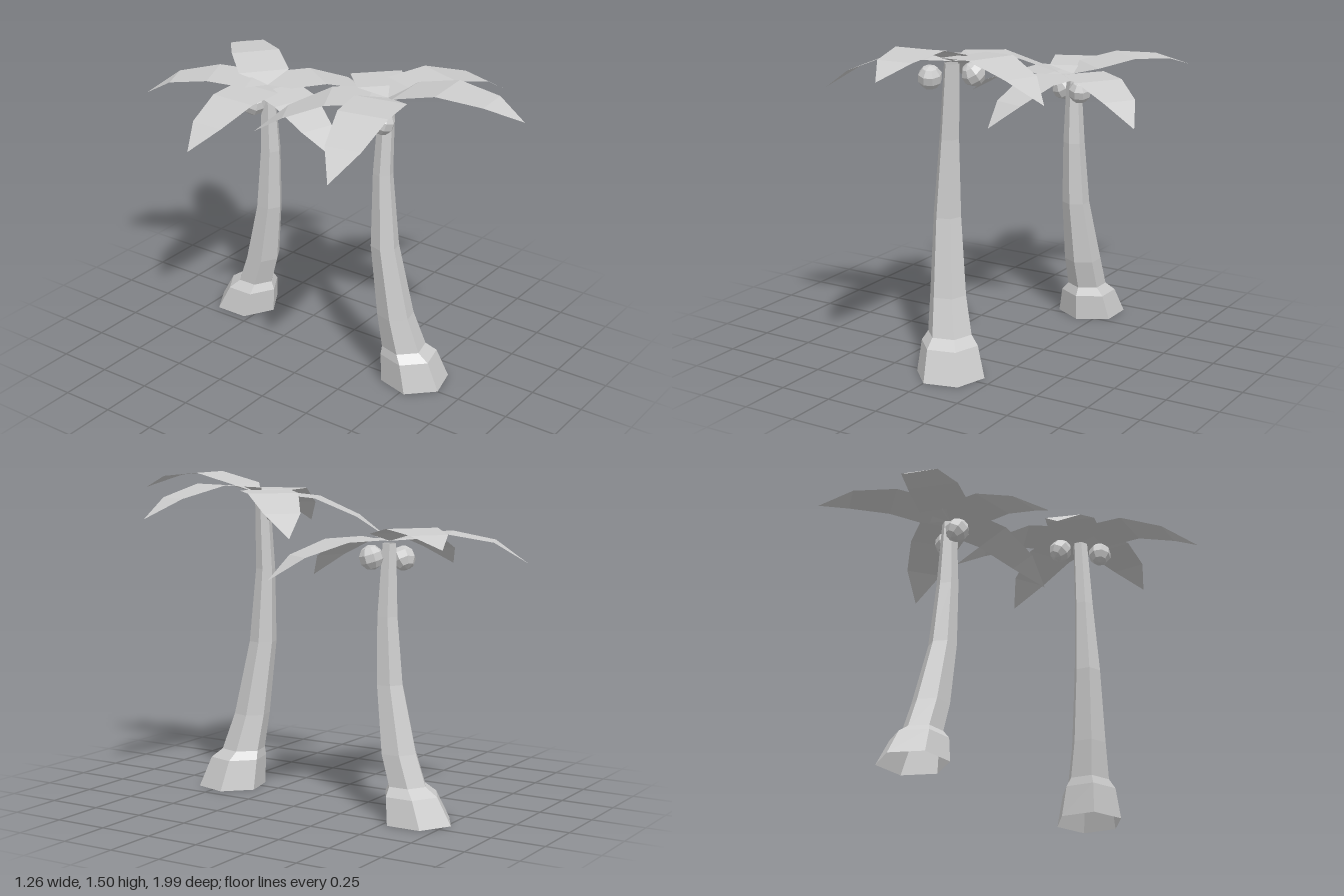
import * as THREE from 'three';

const grey = new THREE.MeshStandardMaterial({ color: 0xcccccc, side: THREE.DoubleSide, flatShading: true });
grey.name = 'palmGrey';

function mesh(name, geometry) {
  const m = new THREE.Mesh(geometry, grey);
  m.name = name;
  return m;
}

function indexed(points, faces) {
  const g = new THREE.BufferGeometry();
  g.setAttribute('position', new THREE.Float32BufferAttribute(points.flat(), 3));
  g.setIndex(faces.flat());
  const flat = g.toNonIndexed();
  flat.computeVertexNormals();
  return flat;
}

// Open six-sided trunk through rings of [x, y, z, radius]
function trunk(rings, turn) {
  const n = 6, points = [], faces = [];
  rings.forEach(([x, y, z, r], k) => {
    for (let i = 0; i < n; i++) {
      const a = turn + (i / n) * Math.PI * 2;
      points.push([x + r * Math.cos(a), y, z + r * Math.sin(a)]);
      if (k === 0) continue;
      const j = (i + 1) % n, low = (k - 1) * n, top = k * n;
      faces.push([low + i, top + i, low + j], [low + j, top + i, top + j]);
    }
  });
  return mesh('trunk', indexed(points, faces));
}

// Leaf from the hub to its tip, with heights at three rows and the tip
function frond(hub, tip, heights) {
  const dx = tip[0] - hub[0], dz = tip[1] - hub[2];
  const length = Math.hypot(dx, dz), ux = dx / length, uz = dz / length;
  const at = (s, w, y) => [hub[0] + ux * s * length - uz * w, y, hub[2] + uz * s * length + ux * w];
  const points = [at(0, 0, hub[1])];
  [[0.13, 0.122], [0.44, 0.117], [0.76, 0.083]].forEach(([s, w], k) => {
    points.push(at(s, -w, heights[k]), at(s, w, heights[k]));
  });
  points.push(at(1, 0, heights[3]));
  const faces = [[0, 2, 1], [1, 2, 3], [3, 2, 4], [3, 4, 5], [5, 4, 6], [5, 6, 7]];
  return mesh('frond', indexed(points, faces));
}

function coconut([x, y, z], i) {
  const m = mesh('coconut', new THREE.SphereGeometry(0.056, 8, 5));
  m.position.set(x, y, z);
  m.rotation.set(0.25, i * 0.9, i ? 0.4 : -0.15);
  return m;
}

function palm(name, { rings, turn, hub, fronds, coconuts }) {
  const group = new THREE.Group();
  group.name = name;
  group.add(trunk(rings, turn));
  fronds.forEach(([tip, heights]) => group.add(frond(hub, tip, heights)));
  coconuts.forEach((p, i) => group.add(coconut(p, i)));
  return group;
}

export function createModel() {
  const model = new THREE.Group();
  model.name = 'palmTrees';

  model.add(palm('tallPalm', {
    turn: THREE.MathUtils.degToRad(46),
    rings: [
      [0.045, 0, 0.485, 0.16], [0.025, 0.14, 0.46, 0.133], [0.013, 0.18, 0.44, 0.103],
      [-0.015, 0.35, 0.408, 0.085], [-0.045, 0.7, 0.363, 0.065],
      [-0.043, 1.05, 0.345, 0.046], [-0.025, 1.39, 0.348, 0.036],
    ],
    hub: [-0.02, 1.4, 0.35],
    fronds: [
      [[0.03, 0.995], [1.45, 1.5, 1.48, 1.42]],
      [[-0.63, 0.46], [1.42, 1.42, 1.34, 1.24]],
      [[0.575, 0.585], [1.44, 1.455, 1.4, 1.31]],
      [[0.41, 0.085 - 0.17], [1.425, 1.42, 1.34, 1.24]],
      [[-0.28, -0.19], [1.41, 1.39, 1.305, 1.2]],
    ],
    coconuts: [[-0.115, 1.325, 0.385], [0.022, 1.33, 0.245]],
  }));

  model.add(palm('shortPalm', {
    turn: Math.PI / 2,
    rings: [
      [0.178, 0, -0.61, 0.161], [0.178, 0.12, -0.573, 0.13], [0.18, 0.16, -0.553, 0.092],
      [0.178, 0.3, -0.508, 0.087], [0.165, 0.6, -0.453, 0.065],
      [0.16, 0.9, -0.436, 0.051], [0.153, 1.22, -0.44, 0.034],
    ],
    hub: [0.15, 1.23, -0.44],
    fronds: [
      [[-0.085, -0.995], [1.255, 1.27, 1.235, 1.14]],
      [[0.54, -0.905], [1.27, 1.305, 1.29, 1.24]],
      [[-0.43, -0.455], [1.24, 1.235, 1.17, 1.085]],
      [[-0.02, 0.06], [1.235, 1.22, 1.14, 1.04]],
      [[0.635, -0.12], [1.245, 1.24, 1.18, 1.08]],
    ],
    coconuts: [[0.215, 1.16, -0.385], [0.08, 1.15, -0.47]],
  }));

  return model;
}
